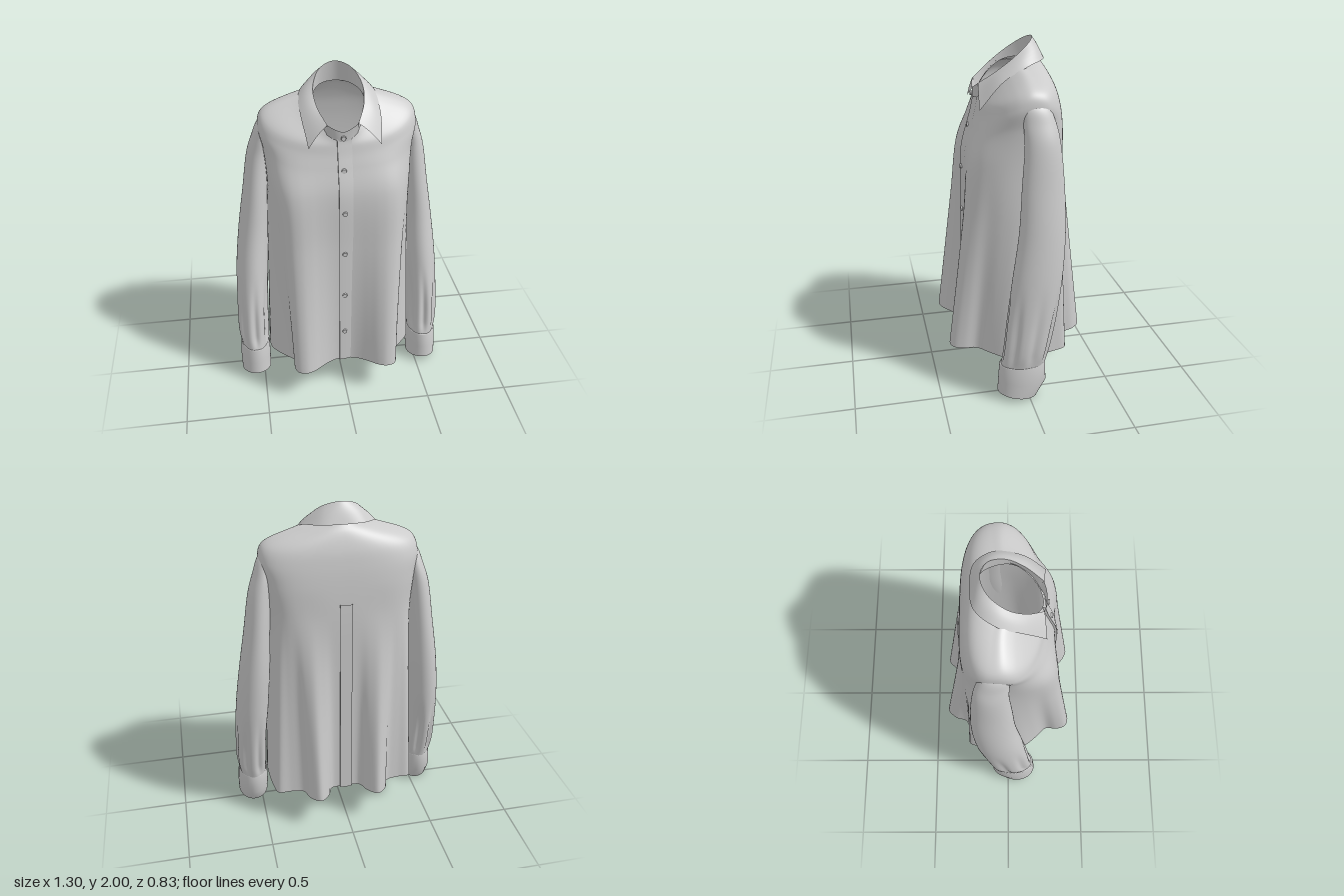
import * as THREE from 'three';
import { toCreasedNormals } from 'three/addons/utils/BufferGeometryUtils.js';

const V = (x, y, z) => new THREE.Vector3(x, y, z);
const { smoothstep } = THREE.MathUtils;
const material = new THREE.MeshStandardMaterial({ color: 0xcccccc, side: THREE.DoubleSide });

// Surface through rows of points; closed rows wrap around.
function loft(rows, closed) {
  const n = rows[0].length, index = [];
  for (let r = 0; r < rows.length - 1; r++) {
    for (let i = 0; i < (closed ? n : n - 1); i++) {
      const j = (i + 1) % n, a = r * n + i, b = r * n + j;
      index.push(a, b, a + n, b, b + n, a + n);
    }
  }
  const g = new THREE.BufferGeometry().setFromPoints(rows.flat());
  g.setIndex(index);
  g.computeVertexNormals();
  return g;
}

function sample(points, count, closed = false) {
  const curve = new THREE.CatmullRomCurve3(points, closed);
  return Array.from({ length: count }, (_, i) => curve.getPoint(i / (closed ? count : count - 1)));
}

// Smooth surface that runs through a few rings.
function smoothRows(rings, count) {
  const columns = rings[0].map((_, i) => sample(rings.map(r => r[i]), count));
  return Array.from({ length: count }, (_, r) => columns.map(c => c[r]));
}

const mirrorLoop = half => [...half, ...half.slice(1, -1).reverse().map(p => V(-p.x, p.y, p.z))];
const mirrorPath = half => [...half.slice(1).reverse().map(p => V(-p.x, p.y, p.z)), ...half];

// Rounded body ring, from front centre round to back centre and mirrored.
// y lists front, side and back heights; p lists front and back squareness.
function bodyRing({ hw, zf, zb, zs, y, p, bump = 0 }) {
  const half = [];
  for (let i = 0; i <= 20; i++) {
    const front = i < 10, power = p[front ? 0 : 1];
    const t = Math.PI / 2 * ((front ? i : 20 - i) / 10) ** 1.5;
    const s = Math.sin(t), c = i === 10 ? 0 : Math.cos(t);
    half.push(V(
      hw * s ** power,
      y[1] + (y[front ? 0 : 2] - y[1]) * c ** 1.3,
      zs + ((front ? zf : zb) - zs) * c ** power + (front ? bump * Math.sin(2 * t) ** 2 : 0)));
  }
  return mirrorLoop(half);
}

// Wavy hem, front centre to back centre: x, z.
const hemOutline = [
  [0, 0.288], [0.05, 0.295], [0.1, 0.318], [0.15, 0.355], [0.2, 0.395], [0.25, 0.413], [0.3, 0.395],
  [0.32, 0.335], [0.315, 0.262], [0.38, 0.187], [0.445, 0.09], [0.45, -0.05], [0.44, -0.18],
  [0.42, -0.262], [0.34, -0.266], [0.265, -0.287], [0.238, -0.365], [0.18, -0.416], [0.122, -0.365],
  [0.085, -0.288], [0, -0.285]];

function bodyRows() {
  const hem = mirrorLoop(hemOutline.map(([x, z]) => V(x, 0.17 + 0.1 * Math.abs(z), z)));
  const chest = bodyRing({ hw: 0.415, zf: 0.262, zb: -0.277, zs: -0.02, y: [1.36, 1.36, 1.36], p: [0.75, 0.55], bump: 0.045 });
  const lower = hem.map((p, i) => p.clone().lerp(chest[i], 0.35));
  const waist = hem.map((p, i) => p.clone().lerp(chest[i], 0.7));
  const upper = bodyRing({ hw: 0.43, zf: 0.224, zb: -0.266, zs: -0.04, y: [1.51, 1.56, 1.56], p: [0.78, 0.55], bump: 0.012 });
  const armhole = bodyRing({ hw: 0.452, zf: 0.204, zb: -0.253, zs: -0.04, y: [1.58, 1.69, 1.67], p: [0.88, 0.65] });
  const shoulder = bodyRing({ hw: 0.425, zf: 0.194, zb: -0.235, zs: -0.035, y: [1.625, 1.762, 1.755], p: [0.95, 0.75] });
  const yoke = bodyRing({ hw: 0.23, zf: 0.188, zb: -0.198, zs: -0.03, y: [1.655, 1.842, 1.845], p: [1, 0.9] });
  const neck = bodyRing({ hw: 0.14, zf: 0.185, zb: -0.165, zs: 0, y: [1.685, 1.86, 1.885], p: [1, 1] });
  const rings = [hem, lower, waist, chest, upper, armhole, shoulder, yoke, neck].map(r => sample(r, 200, true));
  return smoothRows(rings, 80);
}

// Strip along a centre line with a profile of across, outward pairs.
function strip(line, profile) {
  const rows = line.map(p => profile.map(([x, z]) => V(p.x + x, p.y, p.z + z)));
  return toCreasedNormals(loft(rows, false), 0.7);
}

// Sleeve sections: y, inner x, outer x, back z, front z.
const sleeveSections = [
  [1.72, 0.385, 0.42, -0.11, -0.02], [1.68, 0.378, 0.458, -0.14, 0.005], [1.6, 0.385, 0.488, -0.172, 0.008],
  [1.5, 0.395, 0.52, -0.192, 0.005], [1.25, 0.41, 0.56, -0.213, 0.025], [1, 0.42, 0.6, -0.217, 0.045],
  [0.75, 0.435, 0.63, -0.2, 0.085], [0.5, 0.45, 0.645, -0.165, 0.125], [0.3, 0.455, 0.648, -0.125, 0.148],
  [0.205, 0.462, 0.632, -0.1, 0.16]];

const oval = ([y, x0, x1, z0, z1], side) => Array.from({ length: 72 }, (_, i) => {
  const t = i / 72 * Math.PI * 2;
  return V(side * ((x0 + x1) / 2 + (x1 - x0) / 2 * Math.cos(t)), y, (z0 + z1) / 2 + (z1 - z0) / 2 * Math.sin(t));
});

function sleeveGeometry(side) {
  const rows = smoothRows(sleeveSections.map(s => oval(s, side)), 60);
  // Soft pleats that deepen towards the cuff
  for (const row of rows) {
    const centre = row.reduce((sum, p) => sum.add(p), V(0, 0, 0)).divideScalar(row.length);
    const y = centre.y;
    const depth = 0.15 * smoothstep(0.75 - y, 0, 0.4) * smoothstep(y, 0.19, 0.3);
    row.forEach((p, i) => {
      const k = 1 - depth * (0.5 + 0.5 * Math.cos(i / 72 * Math.PI * 14 + 1)) ** 2;
      p.x = centre.x + (p.x - centre.x) * k;
      p.z = centre.z + (p.z - centre.z) * k;
    });
  }
  return loft(rows, true);
}

// Cuff with a slanted bottom edge, drawn in at the lower back
function cuffGeometry(side) {
  const slant = (ring, y, slope) => ring.map(p => V(p.x, y + slope * (p.z + 0.05), p.z));
  return loft([
    oval([0.217, 0.466, 0.628, -0.095, 0.156], side),
    oval([0.213, 0.456, 0.638, -0.103, 0.167], side),
    slant(oval([0, 0.455, 0.645, -0.106, 0.174], side), 0.1, 0.1),
    slant(oval([0, 0.457, 0.643, -0.052, 0.179], side), 0.002, 0.18)], true);
}

const between = (a, b, bulge) => Array.from({ length: 7 }, (_, r) => a.map((p, i) => {
  const q = p.clone().lerp(b[i], r / 6);
  q.y += bulge * Math.sin(r / 6 * Math.PI);
  return q;
}));

export function createModel() {
  const group = new THREE.Group();
  const add = (name, geometry) => {
    const mesh = new THREE.Mesh(geometry, material);
    mesh.name = name;
    group.add(mesh);
    return mesh;
  };

  // Body with draped hem
  const rows = bodyRows();
  add('body', loft(rows, true));

  // Front placket, lapped on one side, and back box pleat
  const frontLine = rows.map(r => r[0]);
  const backLine = rows.map(r => r[100]);
  add('frontPlacket', strip(frontLine, [[-0.032, -0.004], [-0.032, 0.013], [0, 0.011], [0.05, 0.002]]));
  add('backPleat', strip(backLine.filter(p => p.y < 1.46),
    [[-0.035, 0], [-0.035, -0.01], [0.035, -0.01], [0.035, 0]]));

  // Buttons down the placket
  for (const y of [1.685, 1.5, 1.25, 0.98, 0.69, 0.42]) {
    const at = frontLine.reduce((a, b) => Math.abs(b.y - y) < Math.abs(a.y - y) ? b : a);
    const button = add('button', new THREE.CylinderGeometry(0.013, 0.015, 0.01, 20));
    button.rotation.x = Math.PI / 2;
    button.position.set(0, y, at.z + (y > 1.6 ? 0.03 : 0.014));
  }

  // Sleeves and cuffs
  for (const [side, name] of [[1, 'left'], [-1, 'right']]) {
    add(name + 'Sleeve', sleeveGeometry(side));
    add(name + 'Cuff', cuffGeometry(side));
  }

  // Collar: inner stand, its front band, and turned-down fall with pointed tips
  const neckEdge = [V(0, 1.875, -0.165), V(0.085, 1.87, -0.13), V(0.14, 1.845, 0), V(0.125, 1.765, 0.11), V(0.085, 1.69, 0.165)];
  const foldEdge = [V(0, 2, -0.138), V(0.085, 1.975, -0.105), V(0.137, 1.905, -0.01), V(0.13, 1.83, 0.09), V(0.085, 1.757, 0.188)];
  const outerEdge = [V(0, 1.888, -0.195), V(0.125, 1.885, -0.175), V(0.208, 1.86, -0.07), V(0.222, 1.785, 0.07), V(0.203, 1.63, 0.205)];
  const [neck, fold, outer] = [neckEdge, foldEdge, outerEdge].map(e => sample(mirrorPath(e), 81));
  outer.forEach(p => { p.x += 0.012 * smoothstep(p.z, 0, 0.2); });
  add('collarStand', loft(between(neck, fold, 0), false));
  add('collarFall', loft(between(fold, outer, 0.012), false));
  const bandTop = sample(mirrorPath([V(0, 1.72, 0.206), V(0.045, 1.735, 0.202), foldEdge[4]]), 21);
  const bandBottom = sample(mirrorPath([V(0, 1.66, 0.202), V(0.045, 1.67, 0.192), neckEdge[4]]), 21);
  add('collarBand', loft(between(bandBottom, bandTop, 0), false));

  return group;
}
